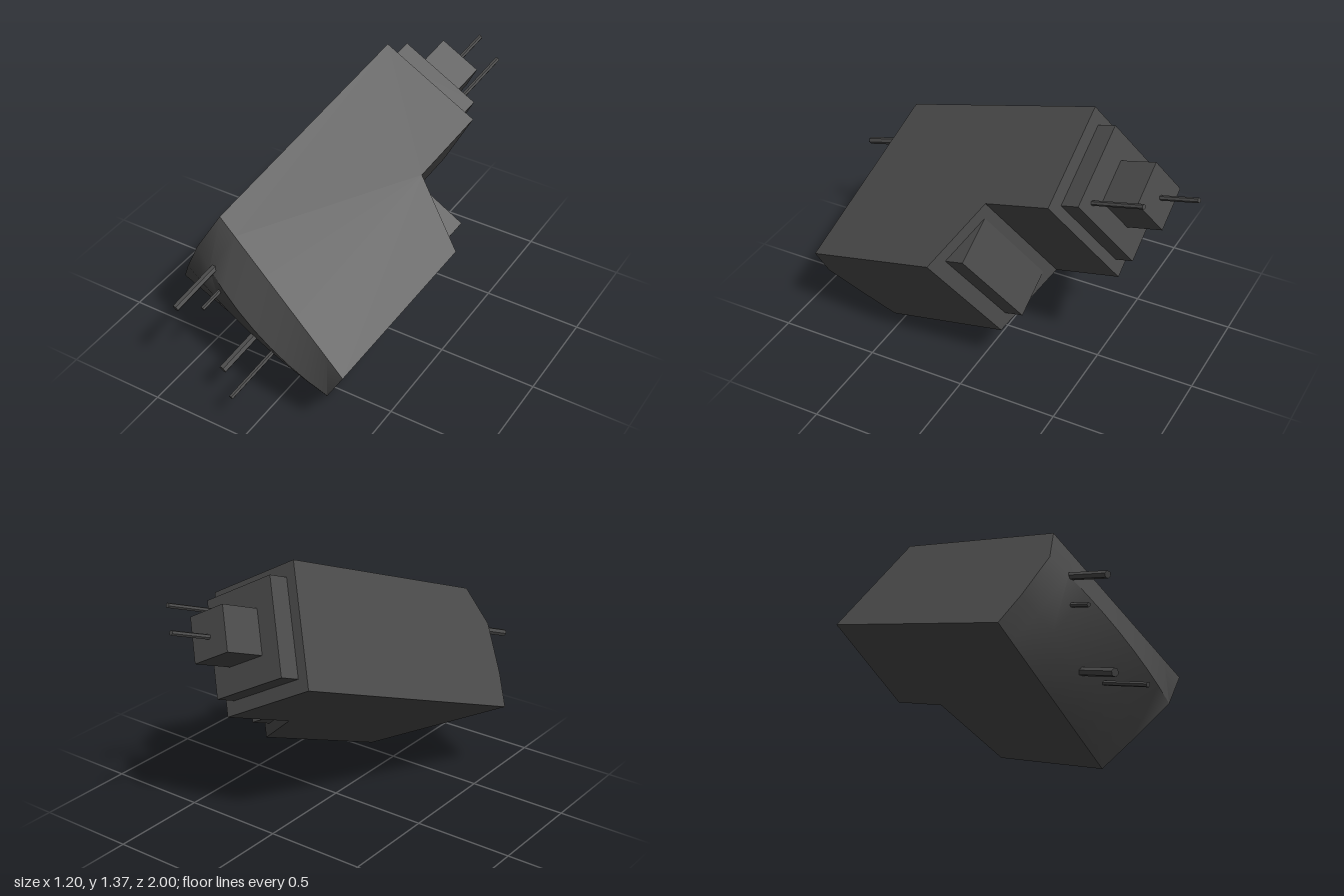
import * as THREE from 'three';
import { toCreasedNormals } from 'three/addons/utils/BufferGeometryUtils.js';

// Local frame: x across, y up, z forward; origin at the hull's top back corner.
const HULL_WIDTH = 0.893;
const HULL_BACK = [[0, 0], [0.54, 0], [0.54, 0.383]];

// Front face heights with the forward reach at the narrow side, middle and wide side.
const FRONT_ROWS = [
  { y: 0, reach: [1.18, 1.267, 1.354] },
  { y: -0.17, reach: [1.31, 1.42, 1.418] },
  { y: -0.42, reach: [1.346, 1.385, 1.362] },
  { y: -0.595, reach: [1.35, 1.332, 1.315] },
];

// Quadratic through three evenly spaced values.
function blend([a, b, c], t) {
  return a * (1 - t) * (1 - 2 * t) + 4 * b * t * (1 - t) + c * t * (2 * t - 1);
}

// Loft of horizontal outlines, closed by a deck and a floor.
function hullGeometry() {
  const steps = 8;
  const rings = FRONT_ROWS.map(({ y, reach }) => {
    const outline = [...HULL_BACK, [HULL_WIDTH, 0.554]];
    for (let i = steps; i >= 0; i--) outline.push([HULL_WIDTH * i / steps, blend(reach, i / steps)]);
    return outline.map(([x, z]) => new THREE.Vector3(x, y, z));
  });
  const points = [];
  const count = rings[0].length;
  for (let k = 0; k < rings.length - 1; k++) {
    for (let i = 0; i < count; i++) {
      const j = (i + 1) % count;
      const a = rings[k][i], b = rings[k][j], c = rings[k + 1][j], d = rings[k + 1][i];
      points.push(a, b, d, b, c, d);
    }
  }
  const cap = (ring, flip) => {
    const flat = ring.map((p) => new THREE.Vector2(p.x, p.z));
    for (const [a, b, c] of THREE.ShapeUtils.triangulateShape(flat, [])) {
      points.push(ring[a], ring[flip ? c : b], ring[flip ? b : c]);
    }
  };
  cap(rings[0], true);
  cap(rings[rings.length - 1], false);
  return toCreasedNormals(new THREE.BufferGeometry().setFromPoints(points), 0.7);
}

export function createModel() {
  const darkGrey = new THREE.MeshStandardMaterial({ color: 0x4a4a4a });
  darkGrey.name = 'darkGrey';

  const body = new THREE.Group();
  body.name = 'body';

  function add(name, geometry) {
    const mesh = new THREE.Mesh(geometry, darkGrey);
    mesh.name = name;
    body.add(mesh);
    return mesh;
  }

  function block(name, min, max) {
    const size = max.map((m, i) => m - min[i]);
    add(name, new THREE.BoxGeometry(...size))
      .position.set(...min.map((m, i) => m + size[i] / 2));
  }

  // Six-sided rod lying along z
  function rod(name, x, y, z0, z1, radius) {
    const geometry = new THREE.CylinderGeometry(radius, radius, z1 - z0, 6).rotateX(Math.PI / 2);
    add(name, toCreasedNormals(geometry, 0.5)).position.set(x, y, (z0 + z1) / 2);
  }

  add('hull', hullGeometry());

  // Stepped rear end
  block('rearPlate', [0.055, -0.53, -0.1], [0.485, -0.065, 0.01]);
  block('rearBlock', [0.16, -0.405, -0.3], [0.38, -0.19, -0.09]);

  // Three-sided ridge on the slanted shoulder
  const wedge = new THREE.Shape([
    new THREE.Vector2(0.58, -0.405),
    new THREE.Vector2(0.825, -0.41),
    new THREE.Vector2(0.825, -0.525),
  ]);
  add('shoulderWedge', new THREE.ExtrudeGeometry(wedge, { depth: 0.485, bevelEnabled: false })
    .rotateX(-Math.PI / 2)).position.y = -0.54;

  // Rear antennas
  rod('rearAntenna', 0.27, -0.31, -0.51, -0.28, 0.012);
  rod('rearAntenna', 0.42, -0.135, -0.39, -0.08, 0.012);

  // Front antennas: x, y, tip z, radius
  for (const [x, y, tip, radius] of [
    [0.125, -0.16, 1.59, 0.018],
    [0.206, -0.26, 1.487, 0.011],
    [0.453, -0.42, 1.6, 0.021],
    [0.571, -0.37, 1.68, 0.012],
  ]) rod('frontAntenna', x, y, 1.25, tip, radius);

  // Tilted pose of the whole craft
  const across = new THREE.Vector3(0.872, -0.49, 0).normalize();
  const up = new THREE.Vector3(-0.2, -0.347, 0.915).cross(across).normalize();
  const forward = new THREE.Vector3().crossVectors(across, up);
  body.quaternion.setFromRotationMatrix(new THREE.Matrix4().makeBasis(across, up, forward));
  body.position.set(-0.07, 1.38, -0.405);

  const model = new THREE.Group();
  model.name = 'model';
  model.add(body);
  return model;
}
